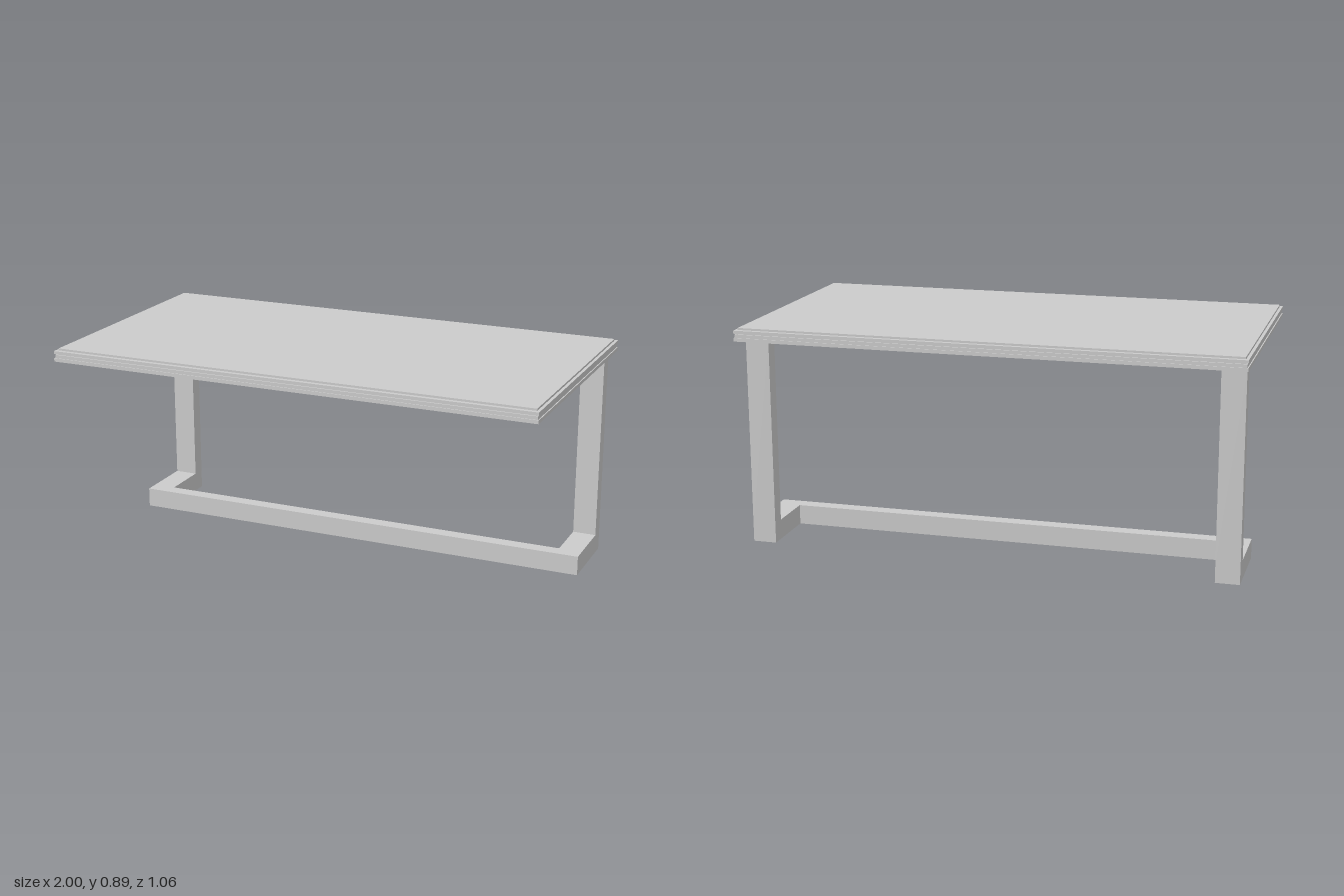
import * as THREE from 'three';

export function createModel() {
  const table = new THREE.Group();
  table.name = 'table';
  const material = new THREE.MeshStandardMaterial({ color: 0xcccccc, flatShading: true });

  function add(name, geometry, parent) {
    const mesh = new THREE.Mesh(geometry, material);
    mesh.name = name;
    parent.add(mesh);
    return mesh;
  }

  // Tabletop: stacked slabs with a narrow shadow groove
  const top = new THREE.Group();
  top.name = 'tabletop';
  table.add(top);
  const slabs = [
    // name, bottom, top, half width, half depth
    ['lowerSlab', 0.839, 0.853, 1, 0.532],
    ['lowerStep', 0.853, 0.866, 0.996, 0.528],
    ['groove', 0.866, 0.87, 0.99, 0.522],
    ['upperSlab', 0.87, 0.882, 1, 0.532],
    ['topPanel', 0.882, 0.89, 0.988, 0.515],
  ];
  for (const [name, y0, y1, hx, hz] of slabs) {
    add(name, new THREE.BoxGeometry(hx * 2, y1 - y0, hz * 2), top).position.y = (y0 + y1) / 2;
  }

  // U-shaped floor frame, open towards the back
  const frame = new THREE.Group();
  frame.name = 'frame';
  frame.position.x = -0.002;
  table.add(frame);
  const outer = 0.985, inner = 0.89, back = -0.454, front = -0.14, bar = 0.057, height = 0.08;
  const outline = [
    [-outer, back], [-inner, back], [-inner, front - bar], [inner, front - bar],
    [inner, back], [outer, back], [outer, front], [-outer, front],
  ];
  // Shape y maps to -z once laid flat
  const shape = new THREE.Shape(outline.map(([x, z]) => new THREE.Vector2(x, -z)));
  const base = new THREE.ExtrudeGeometry(shape, { depth: height, bevelEnabled: false });
  base.rotateX(-Math.PI / 2);
  add('floorFrame', base, frame);

  // Upright legs at the back corners
  const legHeight = 0.839 - height;
  for (const side of [1, -1]) {
    const leg = add(side > 0 ? 'leftLeg' : 'rightLeg',
      new THREE.BoxGeometry(outer - inner, legHeight, bar), frame);
    leg.position.set(side * (outer + inner) / 2, height + legHeight / 2, back + bar / 2);
  }
  return table;
}
